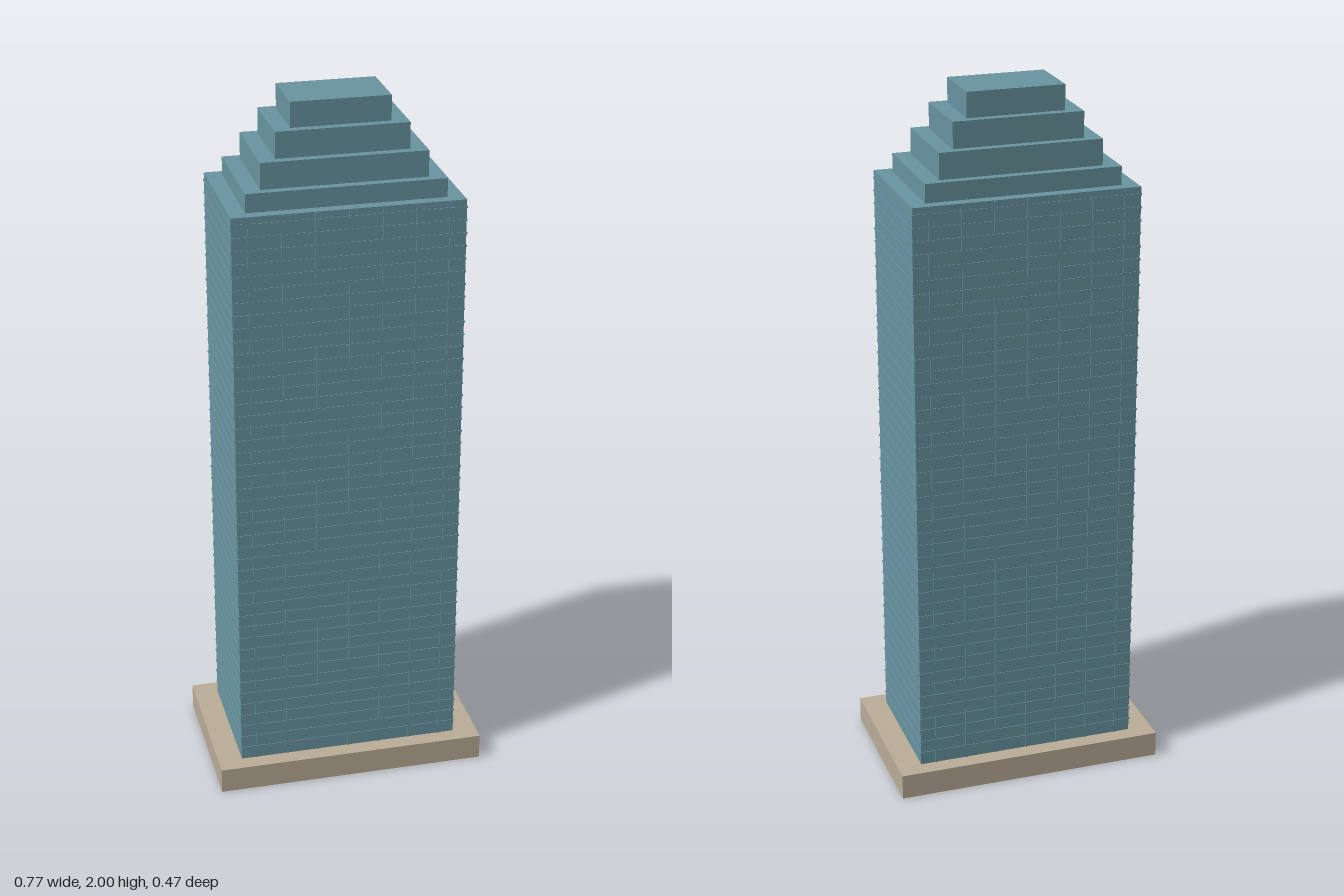
import * as THREE from 'three';

const glass = new THREE.MeshStandardMaterial({ color: 0x6a96a2 });
const stone = new THREE.MeshStandardMaterial({ color: 0xbcae98 });

// Box given by half width, half depth, bottom and top
function block(name, hx, hz, y0, y1, x = 0, z = 0) {
  const mesh = new THREE.Mesh(new THREE.BoxGeometry(hx * 2, y1 - y0, hz * 2), glass);
  mesh.name = name;
  mesh.position.set(x, (y0 + y1) / 2, z);
  return mesh;
}

function rectangle(path, hx, hz) {
  return path.moveTo(-hx, -hz).lineTo(hx, -hz).lineTo(hx, hz).lineTo(-hx, hz).closePath();
}

export function createModel() {
  const tower = new THREE.Group();
  tower.name = 'skyscraper';
  const hx = 0.318, hz = 0.189, baseTop = 0.073, roof = 1.732;

  // Plinth, a frame around the foot of the shaft
  const outline = rectangle(new THREE.Shape(), 0.387, 0.236);
  outline.holes.push(rectangle(new THREE.Path(), hx, hz));
  const plinth = new THREE.Mesh(
    new THREE.ExtrudeGeometry(outline, { depth: baseTop, bevelEnabled: false }).rotateX(-Math.PI / 2), stone);
  plinth.name = 'plinth';
  tower.add(plinth);

  // Main shaft, running down through the plinth
  tower.add(block('shaft', hx, hz, 0, roof));

  // Thin floor bands around the shaft
  const floors = new THREE.Group();
  floors.name = 'floorBands';
  const pitch = 0.0364;
  for (let y = baseTop + pitch; y < roof - 0.01; y += pitch) {
    floors.add(block('floorBand', hx + 0.002, hz + 0.002, y - 0.0025, y + 0.0025));
  }
  tower.add(floors);

  // Vertical fins on the front and back
  const fins = new THREE.Group();
  fins.name = 'fins';
  for (let i = -3; i <= 3; i++) {
    for (const side of [-1, 1]) {
      fins.add(block('fin', 0.002, 0.003, baseTop, roof - 0.002, i * 0.091, side * hz));
    }
  }
  tower.add(fins);

  // Stepped crown
  const levels = [roof, 1.784, 1.857, 1.93, 2];
  for (let i = 0; i < 4; i++) {
    tower.add(block('crownTier', 0.273 - i * 0.0455, 0.158 - i * 0.0237, levels[i], levels[i + 1]));
  }
  return tower;
}
